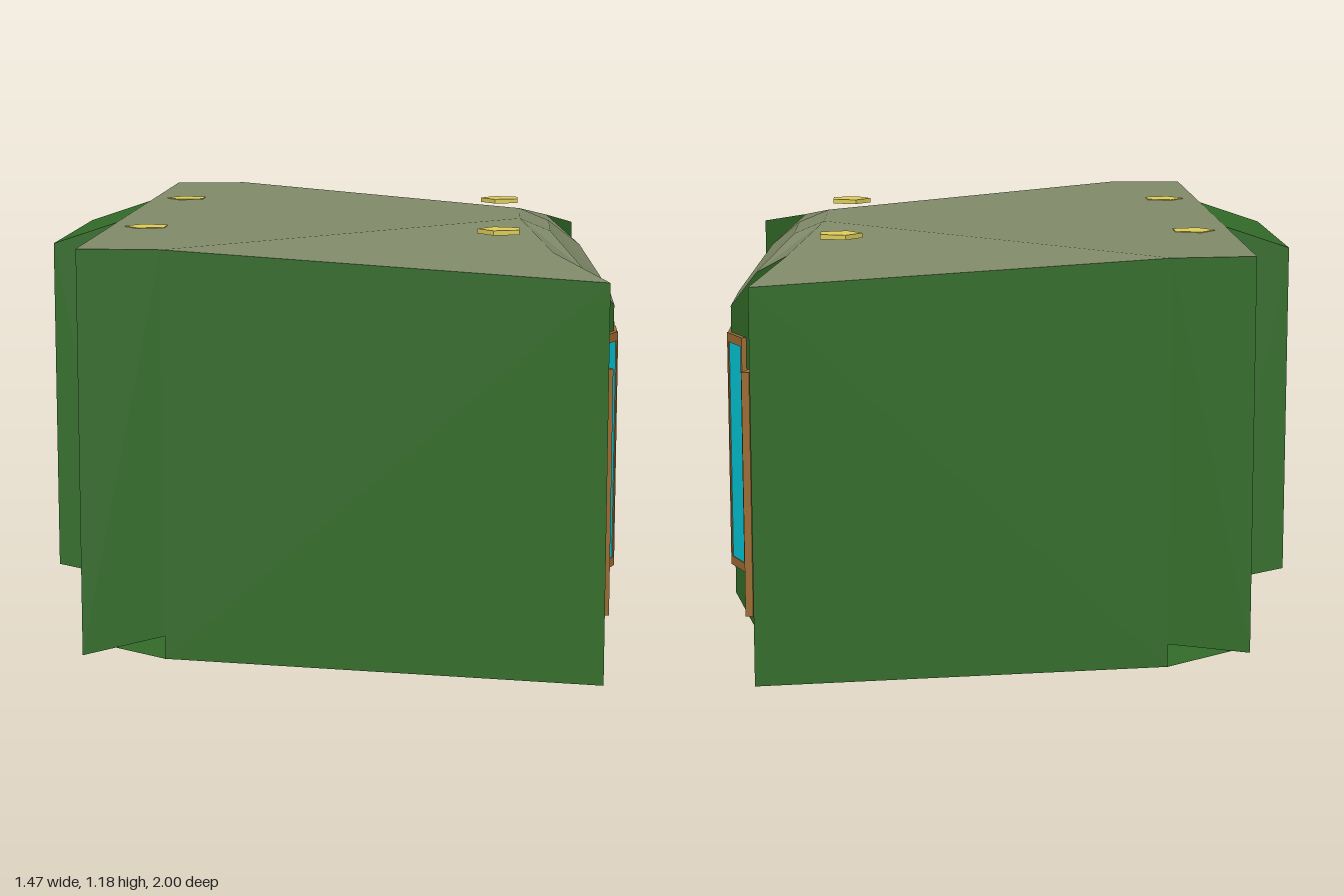
import * as THREE from 'three';

const mat = (color) => new THREE.MeshStandardMaterial({ color, flatShading: true, side: THREE.DoubleSide });
const green = mat(0x326b28);
const stone = mat(0x7f8968);
const wood = mat(0x9c6c34);
const glass = mat(0x04c8da);
const yellow = mat(0xdccb5a);
const CENTRE = new THREE.Vector3(0, 0.6, 0);

// One mesh from convex polygons, each turned to face away from the centre
function shell(name, material, polygons) {
  const pos = [];
  for (const poly of polygons) {
    const p = poly.map((c) => new THREE.Vector3(...c));
    for (let i = 1; i < p.length - 1; i++) {
      const [a, b, c] = [p[0], p[i], p[i + 1]];
      const n = b.clone().sub(a).cross(c.clone().sub(a));
      const mid = a.clone().add(b).add(c).divideScalar(3).sub(CENTRE);
      const order = n.dot(mid) > 0 ? [a, b, c] : [a, c, b];
      for (const v of order) pos.push(v.x, v.y, v.z);
    }
  }
  const g = new THREE.BufferGeometry();
  g.setAttribute('position', new THREE.Float32BufferAttribute(pos, 3));
  g.computeVertexNormals();
  const m = new THREE.Mesh(g, material);
  m.name = name;
  return m;
}

// Framed window spanning two plan points (x, z)
function windowPane(name, p, q, y0, y1, side, rail) {
  const g = new THREE.Group();
  g.name = name;
  const dx = q[0] - p[0], dz = q[1] - p[1];
  const w = Math.hypot(dx, dz), h = y1 - y0;
  g.position.set((p[0] + q[0]) / 2, (y0 + y1) / 2, (p[1] + q[1]) / 2);
  g.rotation.y = Math.atan2(-dz, dx);
  const bar = (n, m, sx, sy, sz, x, y) => {
    const b = new THREE.Mesh(new THREE.BoxGeometry(sx, sy, sz), m);
    b.name = n;
    b.position.set(x, y, 0);
    g.add(b);
  };
  bar('glass', glass, w - side, h - rail, 0.014, 0, 0);
  for (const s of [-1, 1]) {
    bar('frameSide', wood, side, h, 0.02, s * (w - side) / 2, 0);
    bar('frameRail', wood, w, rail, 0.02, 0, s * (h - rail) / 2);
  }
  return g;
}

export function createModel() {
  const room = new THREE.Group();
  room.name = 'room';
  const top = 1.175;
  // The floor is one slope from the alcove down to the bay
  const slope = (x) => 0.02 + (0.47 - x) * 0.2075;
  const z0 = -0.32, z1 = 0.33;

  // Plan corners of each half, from the back wall round to the bay; a is the foot of corner A
  const halves = [
    { s: -1, a: 0.22, side: z0, A: [-0.57, -0.973], B: [-0.37, -1], C: [0.63, -0.77], D: [0.55, -0.51], E: [0.64, -0.315], F: [0.72, -0.145] },
    { s: 1, a: 0.198, side: z1, A: [-0.57, 0.988], B: [-0.37, 0.995], C: [0.683, 0.785], D: [0.55, 0.525], E: [0.635, 0.34], F: [0.72, 0.16] },
  ];
  const at = (p, y) => [p[0], y, p[1]];
  const walls = [], roof = [], floor = [], skirting = [], bayRoof = [], baySole = [];

  for (const { s, a, side, A, B, C, D, E, F } of halves) {
    const z = s * 0.15;
    const crown = [0.47, top, z], brow = [0.55, 1.142, z];
    const keel = [0.47, 0.02, z], sill = [0.55, 0.022, z], toe = [0.55, 0, z];
    const eLow = at(E, 0.035), bLow = at(B, slope(B[0]));
    const back = [-0.57, slope(-0.57), side];
    walls.push(
      [at(A, a), back, [-0.57, top, side], at(A, top)],
      [at(A, a), at(B, 0.25), at(B, top), at(A, top)],
      [bLow, at(C, 0.087), at(C, 1.08), at(B, top)],
      [at(C, 0.13), at(D, 0.09), at(D, 1.125), at(C, 1.08)],
      [at(D, 0.09), at(E, 0.08), at(E, 1.06), at(D, 1.125)],
      [at(E, 0.08), at(F, 0.17), at(F, 0.95), at(E, 1.06)],
    );
    skirting.push(
      [at(C, 0.13), at(D, 0.09), at(D, 0.05), at(C, 0.087)],
      [at(D, 0.09), at(E, 0.08), eLow, at(D, 0.05)],
    );
    roof.push([at(A, top), at(B, top), crown], [at(B, top), at(C, 1.08), at(D, 1.125)],
      [at(B, top), at(D, 1.125), crown], [at(D, 1.125), at(E, 1.06), crown]);
    bayRoof.push([crown, at(E, 1.06), brow], [brow, at(E, 1.06), at(F, 0.95)]);
    floor.push([at(A, slope(A[0])), bLow, keel], [bLow, at(C, 0.087), at(D, 0.05)],
      [bLow, at(D, 0.05), keel], [at(D, 0.05), eLow, keel], [keel, eLow, sill]);
    baySole.push([toe, at(E, 0.08), at(F, 0.17)], [toe, eLow, at(E, 0.08)]);
  }

  // Strips joining the two halves
  const [r, l] = halves;
  walls.push([at(r.F, 0.17), at(l.F, 0.17), at(l.F, 0.95), at(r.F, 0.95)]);
  roof.push([at(r.A, top), at(l.A, top), [0.47, top, 0.15], [0.47, top, -0.15]]);
  bayRoof.push([[0.47, top, -0.15], [0.47, top, 0.15], [0.55, 1.142, 0.15], [0.55, 1.142, -0.15]],
    [[0.55, 1.142, -0.15], [0.55, 1.142, 0.15], at(l.F, 0.95), at(r.F, 0.95)]);
  floor.push([at(r.A, slope(-0.57)), at(l.A, slope(-0.57)), [0.47, 0.02, 0.15], [0.47, 0.02, -0.15]],
    [[0.47, 0.02, -0.15], [0.47, 0.02, 0.15], [0.55, 0.022, 0.15], [0.55, 0.022, -0.15]]);
  baySole.push([[0.55, 0, -0.15], [0.55, 0, 0.15], at(l.F, 0.17), at(r.F, 0.17)]);

  room.add(
    shell('walls', green, walls), shell('roof', stone, roof), shell('bayRoof', stone, bayRoof),
    shell('floor', green, floor), shell('skirting', stone, skirting), shell('bayUnderside', stone, baySole),
  );

  // Alcove behind the back wall, with sloping top and bottom
  const edge = [[-0.57, slope(-0.57)], [-0.735, slope(-0.735)], [-0.735, 1.12], [-0.57, top]];
  const alcove = [z0, z1].map((z) => edge.map(([x, y]) => [x, y, z]));
  for (let i = 0; i < 3; i++) {
    const a = edge[i], b = edge[i + 1];
    alcove.push([[...a, z0], [...b, z0], [...b, z1], [...a, z1]]);
  }
  room.add(shell('alcove', green, alcove));

  // Wing windows and the folded bay windows
  room.add(
    windowPane('leftWingWindow', [0.685, 0.77], [0.572, 0.542], 0.26, 0.87, 0.018, 0.022),
    windowPane('rightWingWindow', [0.642, -0.75], [0.567, -0.512], 0.26, 0.87, 0.018, 0.022),
    windowPane('leftBayFrontWindow', [0.719, 0.05], [0.719, 0.163], 0.25, 0.88, 0.009, 0.024),
    windowPane('leftBaySideWindow', [0.722, 0.165], [0.677, 0.267], 0.25, 0.88, 0.009, 0.024),
    windowPane('rightBayFrontWindow', [0.719, -0.022], [0.719, -0.143], 0.25, 0.88, 0.009, 0.024),
    windowPane('rightBaySideWindow', [0.722, -0.143], [0.677, -0.245], 0.25, 0.88, 0.009, 0.024),
  );

  // Five-sided lamps set almost flush in the roof
  for (const [x, z] of [[-0.475, -0.41], [-0.475, 0.44], [0.42, -0.46], [0.42, 0.46]]) {
    const lamp = new THREE.Mesh(new THREE.CylinderGeometry(0.058, 0.058, 0.012, 5), yellow);
    lamp.name = 'roofLamp';
    lamp.rotation.y = -Math.PI / 2;
    lamp.position.set(x, 1.171, z);
    room.add(lamp);
  }
  return room;
}
